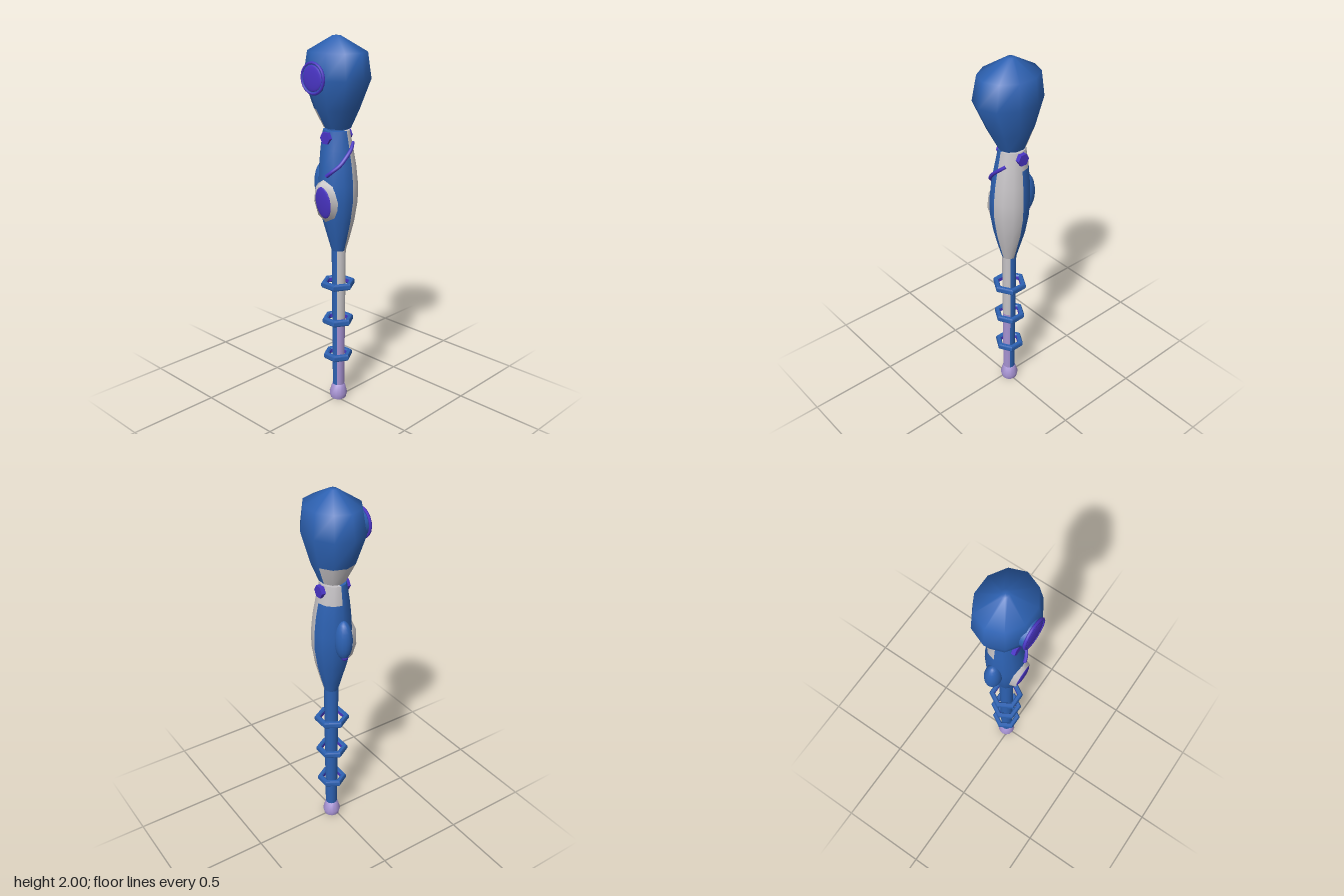
import * as THREE from 'three';
import { toCreasedNormals } from 'three/addons/utils/BufferGeometryUtils.js';

const mat = (name, color) => {
  const m = new THREE.MeshStandardMaterial({ color });
  m.name = name;
  return m;
};

// Skin over elliptical rings [y, rx, rz, cx, cz] listed upward; angle 0 faces +z and turns to +x.
// pick(ring, side) gives the index of the material for each panel.
function loft(rings, sides, pick = () => 0) {
  const pos = [], faces = [];
  for (const [y, rx, rz, cx, cz] of rings) {
    for (let k = 0; k < sides; k++) {
      const t = (k / sides) * Math.PI * 2;
      pos.push(cx + rx * Math.sin(t), y, cz + rz * Math.cos(t));
    }
  }
  for (let i = 0; i < rings.length - 1; i++) {
    for (let k = 0; k < sides; k++) {
      const a = i * sides + k, b = i * sides + ((k + 1) % sides);
      const list = (faces[pick(i, k)] ??= []);
      list.push(a, b, b + sides, a, b + sides, a + sides);
    }
  }
  const geo = new THREE.BufferGeometry();
  geo.setAttribute('position', new THREE.Float32BufferAttribute(pos, 3));
  geo.setIndex(faces.flat());
  let start = 0;
  faces.forEach((list, m) => {
    geo.addGroup(start, list.length, m);
    start += list.length;
  });
  geo.computeVertexNormals();
  return geo;
}

export function createModel() {
  const model = new THREE.Group();
  const blue = mat('blue', 0x2d62b3);
  const white = mat('pale grey', 0xc6c3c6);
  const lavender = mat('lavender', 0xa692d2);
  const purple = mat('violet', 0x4a35c6);

  const add = (name, geo, material, parent = model) => {
    const mesh = new THREE.Mesh(geo, material);
    mesh.name = name;
    parent.add(mesh);
    return mesh;
  };

  // Bulb head with a pale patch low on the back
  add('head', loft([
    [1.54, 0, 0, 0.022, -0.015],
    [1.54, 0.065, 0.075, 0.022, -0.015],
    [1.54, 0.065, 0.075, 0.022, -0.015],
    [1.64, 0.112, 0.122, 0.014, -0.012],
    [1.795, 0.155, 0.184, 0.007, -0.002],
    [1.925, 0.138, 0.162, 0.011, -0.004],
    [2.0, 0.02, 0.022, 0.012, -0.01],
    [2.0, 0, 0, 0.012, -0.01],
  ], 10, (i, k) => (i < 3 && k >= 3 && k <= 6 ? 1 : 0)), [blue, white]);

  // Neck joint
  const neck = add('neck', new THREE.CylinderGeometry(0.05, 0.05, 0.04, 12), blue);
  neck.position.set(0.02, 1.53, -0.015);

  // Swelling grip body: pale front quarter, pale collar on the +x half
  add('body', loft([
    [0.88, 0.038, 0.038, 0.018, 0],
    [0.95, 0.058, 0.058, 0.018, 0],
    [1.05, 0.085, 0.085, 0.018, -0.002],
    [1.16, 0.103, 0.104, 0.018, -0.003],
    [1.25, 0.104, 0.107, 0.018, -0.004],
    [1.35, 0.096, 0.1, 0.018, -0.008],
    [1.43, 0.084, 0.09, 0.018, -0.013],
    [1.53, 0.067, 0.073, 0.018, -0.017],
    [1.53, 0.067, 0.073, 0.018, -0.017],
    [1.53, 0, 0, 0.018, -0.017],
  ], 12, (i, k) => (k < (i >= 6 ? 6 : 3) ? 1 : 0)), [blue, white]);

  // Shaft with a front strip that changes from pale to lavender
  add('shaft', loft([
    [0.07, 0.033, 0.033, 0.018, 0],
    [0.49, 0.036, 0.036, 0.018, 0],
    [0.89, 0.039, 0.039, 0.018, 0],
  ], 12, (i, k) => (k < 2 || k > 9 ? (i === 0 ? 2 : 1) : 0)), [blue, white, lavender]);

  // Flared foot, slightly hollow below
  add('pommel', loft([
    [0.015, 0, 0, 0.018, -0.002],
    [0.012, 0.032, 0.032, 0.018, -0.002],
    [0.0, 0.043, 0.043, 0.018, -0.002],
    [0.0, 0.043, 0.043, 0.018, -0.002],
    [0.03, 0.05, 0.05, 0.018, -0.002],
    [0.085, 0.034, 0.034, 0.018, 0],
    [0.085, 0, 0, 0.018, 0],
  ], 12), lavender);

  // Hexagonal floating rings with violet inner faces
  for (const [y, r] of [[0.69, 0.094], [0.478, 0.087], [0.265, 0.081]]) {
    const ring = new THREE.Group();
    ring.name = 'shaftRing';
    ring.position.set(0.017, y, -0.004);
    model.add(ring);
    const inner = r - 0.03, h = 0.017;
    const outline = [[inner, -h * 0.6], [inner + 0.007, -h], [r - 0.006, -h], [r, -h * 0.5],
      [r, h * 0.5], [r - 0.006, h], [inner + 0.007, h], [inner, h * 0.6]];
    const lathe = (pts) => toCreasedNormals(
      new THREE.LatheGeometry(pts.map(([x, v]) => new THREE.Vector2(x, v)), 6), 0.6);
    add('ringBand', lathe(outline), blue, ring);
    add('ringLining', lathe([outline[7], outline[0]]), purple, ring);
  }

  // Hexagonal studs on both sides of the collar
  for (const x of [-0.054, 0.094]) {
    const stud = add('collarStud', toCreasedNormals(
      new THREE.CylinderGeometry(0.034, 0.034, 0.024, 6), 0.5), purple);
    stud.rotation.z = Math.PI / 2;
    stud.position.set(x, 1.495, -0.018);
  }

  // Diagonal cord across the front
  const cord = new THREE.CatmullRomCurve3([
    [0.062, 1.468, 0.058], [0.03, 1.44, 0.077], [-0.01, 1.405, 0.081],
    [-0.045, 1.365, 0.07], [-0.075, 1.33, 0.04], [-0.085, 1.305, 0.012],
  ].map((p) => new THREE.Vector3(...p)));
  add('frontCord', new THREE.TubeGeometry(cord, 20, 0.01, 6), purple);

  // Oval boss on the back with a violet gem at its lower end
  const boss = add('backBoss', new THREE.SphereGeometry(1, 16, 12), blue);
  boss.scale.set(0.045, 0.11, 0.052);
  boss.position.set(0.018, 1.237, -0.112);
  const gem = add('backGem', new THREE.SphereGeometry(1, 10, 8), purple);
  gem.scale.set(0.02, 0.02, 0.02);
  gem.position.set(0.018, 1.143, -0.122);

  // Oval medallion on the -x side of the body
  const medal = new THREE.Group();
  medal.name = 'sideMedallion';
  medal.position.set(-0.074, 1.165, -0.008);
  medal.rotation.z = Math.PI / 2 + 0.13;
  model.add(medal);
  const rim = add('medallionRim', toCreasedNormals(
    new THREE.CylinderGeometry(0.85, 1, 0.03, 8), 0.4), white, medal);
  rim.scale.set(0.125, 1, 0.078);
  const face = add('medallionFace', new THREE.SphereGeometry(1, 16, 8, 0, Math.PI * 2, 0, Math.PI / 2), purple, medal);
  face.scale.set(0.088, 0.012, 0.054);
  face.position.y = 0.0145;

  // Round badge on the -x side of the head
  const badge = new THREE.Group();
  badge.name = 'headBadge';
  badge.position.set(-0.138, 1.803, -0.021);
  badge.rotation.z = Math.PI / 2;
  model.add(badge);
  add('badgeBase', new THREE.CylinderGeometry(0.072, 0.076, 0.03, 16), blue, badge).position.y = -0.006;
  const hoop = add('badgeHoop', new THREE.TorusGeometry(0.075, 0.008, 6, 20), purple, badge);
  hoop.rotation.x = Math.PI / 2;
  hoop.position.y = 0.006;
  const dish = add('badgeDish', new THREE.SphereGeometry(1, 16, 6, 0, Math.PI * 2, 0, Math.PI / 2), purple, badge);
  dish.scale.set(0.066, 0.009, 0.066);
  dish.position.y = 0.0085;

  return model;
}
